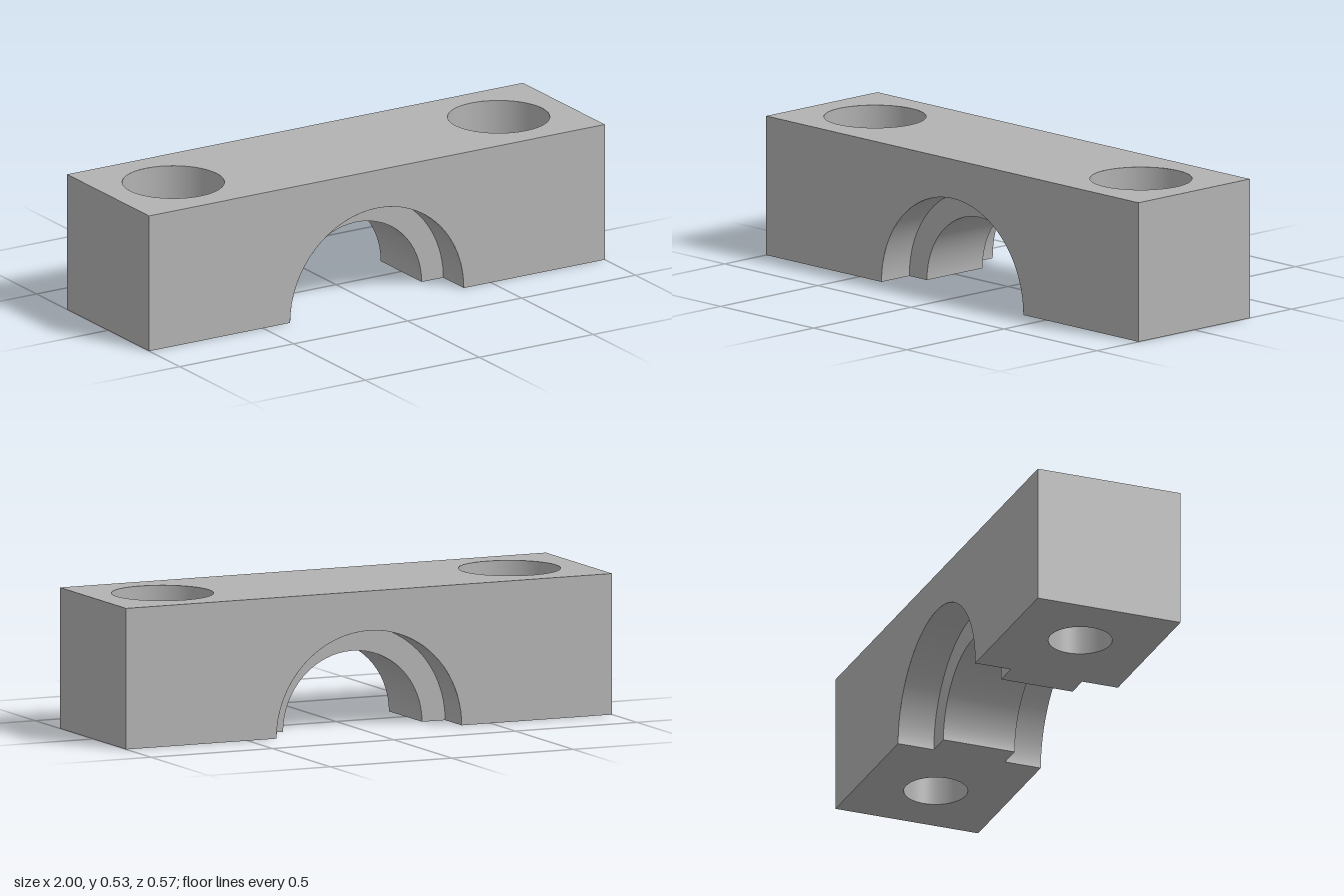
import * as THREE from 'three';

// Half sizes and radii of the clamp block
const W = 1, H = 0.53, D = 0.286;
const BORE = 0.286, RECESS = 0.381, LEDGE = 0.143;   // half-round bore, stepped at both ends
const HOLE_X = 0.714, HOLE = 0.119, SINK = 0.19, SINK_DEPTH = 0.128;
const SEG = 64;

export function createModel() {
  const group = new THREE.Group();
  const grey = new THREE.MeshStandardMaterial({ color: 0xb2b2b2, side: THREE.DoubleSide });
  grey.name = 'plain grey';

  const add = (name, geometry, x = 0, y = 0, z = 0) => {
    const mesh = new THREE.Mesh(geometry, grey);
    mesh.name = name;
    mesh.position.set(x, y, z);
    group.add(mesh);
  };
  const polygon = (pts) => new THREE.Shape(pts.map(([x, y]) => new THREE.Vector2(x, y)));
  const circle = (x, r) => new THREE.Path().absarc(x, 0, r, 0, Math.PI * 2, true);

  // Front and back walls with the arch cut out, and the step rings inside
  const wall = new THREE.Shape();
  wall.moveTo(RECESS, 0).lineTo(W, 0).lineTo(W, H).lineTo(-W, H).lineTo(-W, 0).lineTo(-RECESS, 0);
  wall.absarc(0, 0, RECESS, Math.PI, 0, true);
  for (const s of [1, -1]) {
    const turn = s > 0 ? 0 : Math.PI;
    const end = s > 0 ? 'front' : 'back';
    add(end + 'Wall', new THREE.ShapeGeometry(wall, SEG / 2).rotateY(turn), 0, 0, s * D);
    add(end + 'BoreStep', new THREE.RingGeometry(BORE, RECESS, SEG / 2, 1, 0, Math.PI).rotateY(turn),
      0, 0, s * LEDGE);
    // Wide half-round recess at each end of the bore
    add(end + 'BoreRecess', halfPipe(RECESS, D - LEDGE), 0, 0, s * (D + LEDGE) / 2);
  }
  add('bore', halfPipe(BORE, LEDGE * 2));

  // Top face with two bolt openings
  const top = polygon([[-W, -D], [W, -D], [W, D], [-W, D]]);
  top.holes.push(circle(HOLE_X, SINK), circle(-HOLE_X, SINK));
  add('topFace', new THREE.ShapeGeometry(top, SEG).rotateX(-Math.PI / 2), 0, H, 0);

  for (const s of [1, -1]) {
    const side = s > 0 ? 'left' : 'right';

    // End wall
    add(side + 'EndWall', new THREE.PlaneGeometry(2 * D, H).rotateY(s * Math.PI / 2), s * W, H / 2, 0);

    // Foot, with a tongue reaching in to the narrow bore
    const foot = polygon([[W, -D], [W, D], [RECESS, D], [RECESS, LEDGE], [BORE, LEDGE],
      [BORE, -LEDGE], [RECESS, -LEDGE], [RECESS, -D]].map(([x, y]) => [s * x, y]));
    foot.holes.push(circle(s * HOLE_X, HOLE));
    add(side + 'Foot', new THREE.ShapeGeometry(foot, SEG).rotateX(Math.PI / 2));

    // Counterbored bolt hole
    const shaft = H - SINK_DEPTH;
    add(side + 'BoltHole', new THREE.CylinderGeometry(HOLE, HOLE, shaft, SEG, 1, true), s * HOLE_X, shaft / 2, 0);
    add(side + 'Counterbore', new THREE.CylinderGeometry(SINK, SINK, SINK_DEPTH, SEG, 1, true),
      s * HOLE_X, H - SINK_DEPTH / 2, 0);
    add(side + 'CounterboreSeat', new THREE.RingGeometry(HOLE, SINK, SEG).rotateX(-Math.PI / 2),
      s * HOLE_X, shaft, 0);
  }
  return group;
}

// Upper half of an open tube lying along z
function halfPipe(radius, length) {
  return new THREE.CylinderGeometry(radius, radius, length, SEG / 2, 1, true, Math.PI / 2, Math.PI)
    .rotateX(Math.PI / 2);
}
